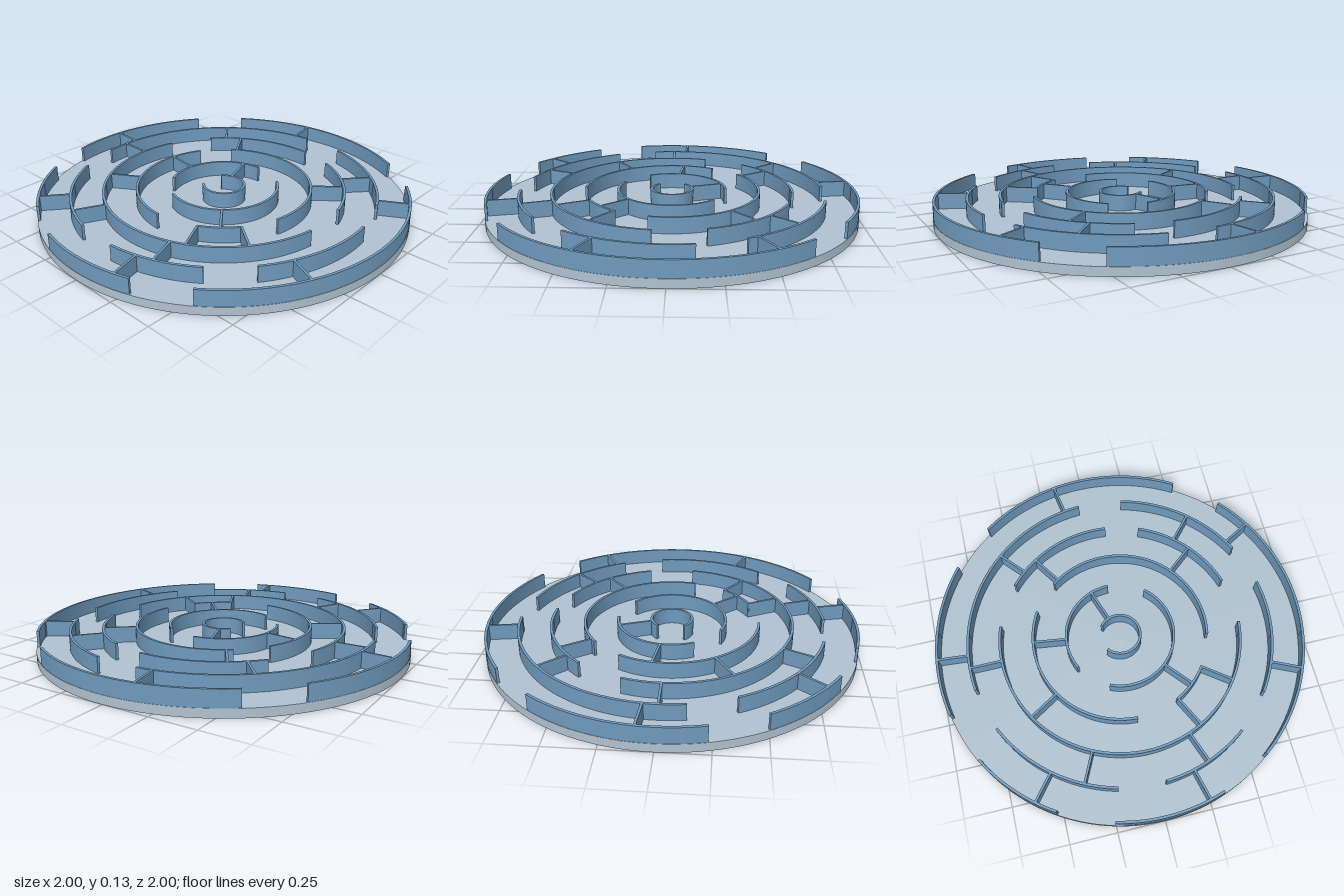
import * as THREE from 'three';

const FLOOR = 0.045, TOP = 0.13, THICK = 0.014;
const RADII = [0.11, 0.292, 0.472, 0.651, 0.823, 0.991];

// Curved walls per ring: [start, end] in degrees, counter-clockwise from +x seen from above
const ARCS = [
  [[129, 411]],
  [[0, 117], [156, 319.5]],
  [[60.5, 178], [257.2, 397.7], [206.4, 234.2]],
  [[72.7, 263.1], [-5.9, 50.3], [-74, -22.6]],
  [[3.5, 99.1], [115.8, 166], [183.1, 216.6], [233.5, 278.8], [-64.2, -13.7]],
  [[52.9, 103.5], [120, 148.1], [165.2, 198.6], [215.5, 311.5], [-31.8, 36.3]],
];

// Straight walls from each ring out to the next: angles in degrees
const SPOKES = [
  [19.7],
  [82.4, 220.8],
  [121.5, 33.5, -50, 206.9, 233.5],
  [90.2, 41.6, 154, 200.1, -41.3],
  [85.2, 141.3, 9.5, 193.9, 245.5, -60.4],
];

const rad = THREE.MathUtils.degToRad;

function arcGeometry(radius, from, to) {
  const shape = new THREE.Shape();
  shape.absarc(0, 0, radius + THICK / 2, rad(from), rad(to), false);
  shape.absarc(0, 0, radius - THICK / 2, rad(to), rad(from), true);
  shape.closePath();
  const geometry = new THREE.ExtrudeGeometry(shape, {
    depth: TOP - FLOOR,
    bevelEnabled: false,
    curveSegments: Math.max(6, Math.ceil((to - from) / 4)),
  });
  return geometry.rotateX(-Math.PI / 2).translate(0, FLOOR, 0);
}

export function createModel() {
  const model = new THREE.Group();
  model.name = 'circularMaze';

  const baseMaterial = new THREE.MeshStandardMaterial({ color: 0xb0c2d0 });
  baseMaterial.name = 'paleBlueGrey';
  const wallMaterial = new THREE.MeshStandardMaterial({ color: 0x6f9abd });
  wallMaterial.name = 'steelBlue';

  const add = (name, geometry, material) => {
    const mesh = new THREE.Mesh(geometry, material);
    mesh.name = name;
    model.add(mesh);
    return mesh;
  };

  // Round base plate
  add('basePlate', new THREE.CylinderGeometry(1, 1, FLOOR, 128).translate(0, FLOOR / 2, 0), baseMaterial);

  // Concentric walls with gaps
  ARCS.forEach((list, ring) => list.forEach(([from, to]) =>
    add('ringWall', arcGeometry(RADII[ring], from, to), wallMaterial)));

  // Radial dividers
  SPOKES.forEach((list, ring) => list.forEach((angle) => {
    const inner = RADII[ring], outer = RADII[ring + 1];
    const geometry = new THREE.BoxGeometry(outer - inner, TOP - FLOOR, THICK * 0.9);
    geometry.translate((inner + outer) / 2, (FLOOR + TOP) / 2, 0);
    add('radialWall', geometry, wallMaterial).rotation.y = rad(angle);
  }));

  return model;
}
